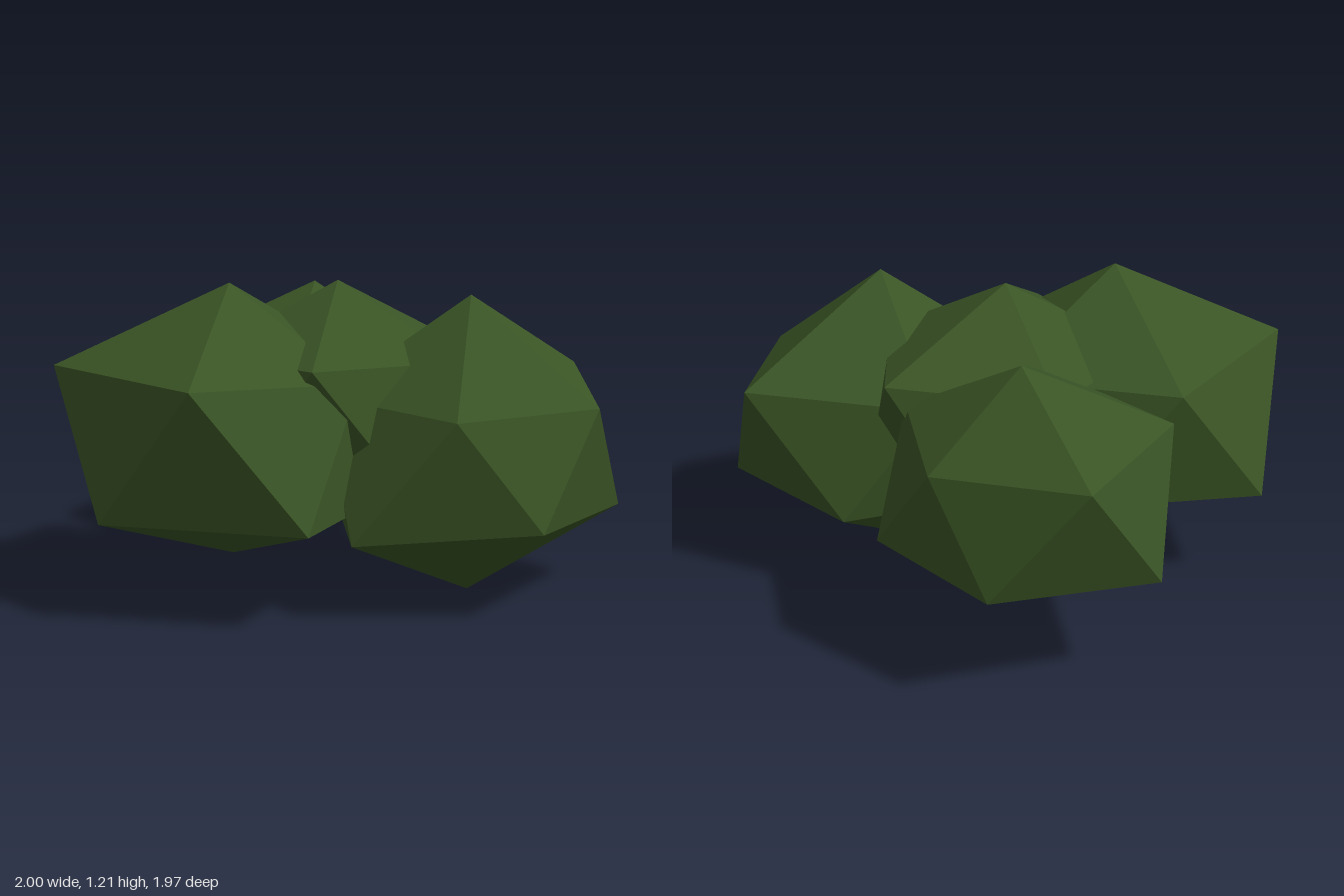
import * as THREE from 'three';

// Squashed 20-sided clump: each vertex has its own distance from the centre.
// upper ring sits at 0, 72, 144... degrees, lower ring at 36, 108, 180...
function clumpGeometry({ top, upper, lower, bottom }) {
  const squash = 0.8;
  const ring = (radii, offset, side) => radii.map((r, i) => {
    const a = (i + offset) * Math.PI * 0.4;
    return new THREE.Vector3(Math.cos(a) * 0.894, side * 0.447 * squash, Math.sin(a) * 0.894).multiplyScalar(r);
  });
  const t = new THREE.Vector3(0, top * squash, 0);
  const b = new THREE.Vector3(0, -bottom * squash, 0);
  const u = ring(upper, 0, 1);
  const l = ring(lower, 0.5, -1);
  const corners = [];
  for (let i = 0; i < 5; i++) {
    const n = (i + 1) % 5;
    corners.push(t, u[n], u[i]); // cap
    corners.push(u[i], u[n], l[i], l[i], u[n], l[n]); // belt
    corners.push(b, l[i], l[n]); // underside
  }
  const geometry = new THREE.BufferGeometry().setFromPoints(corners);
  geometry.computeVertexNormals();
  return geometry;
}

export function createModel() {
  const group = new THREE.Group();
  group.name = 'bush';
  const leafGreen = new THREE.MeshStandardMaterial({ color: 0x3a5425, flatShading: true });
  leafGreen.name = 'leafGreen';

  const clumps = [
    { name: 'frontClump', at: [-0.33, 0.647, 0.35], top: 0.70, bottom: 0.62,
      upper: [0.61, 0.74, 0.74, 0.655, 0.67], lower: [0.75, 0.72, 0.75, 0.62, 0.74] },
    { name: 'sideClump', at: [0.48, 0.56, -0.07], top: 0.75, bottom: 0.70,
      upper: [0.58, 0.60, 0.63, 0.62, 0.73], lower: [0.59, 0.72, 0.66, 0.63, 0.68] },
    { name: 'backClump', at: [-0.42, 0.652, -0.51], top: 0.575, bottom: 0.59,
      upper: [0.55, 0.60, 0.61, 0.65, 0.47], lower: [0.67, 0.60, 0.64, 0.565, 0.58] },
    { name: 'middleClump', at: [-0.06, 0.695, -0.02], top: 0.62, bottom: 0.56,
      upper: [0.60, 0.66, 0.60, 0.56, 0.65], lower: [0.60, 0.60, 0.60, 0.60, 0.60] },
  ];
  for (const clump of clumps) {
    const mesh = new THREE.Mesh(clumpGeometry(clump), leafGreen);
    mesh.name = clump.name;
    mesh.position.set(...clump.at);
    group.add(mesh);
  }
  return group;
}
